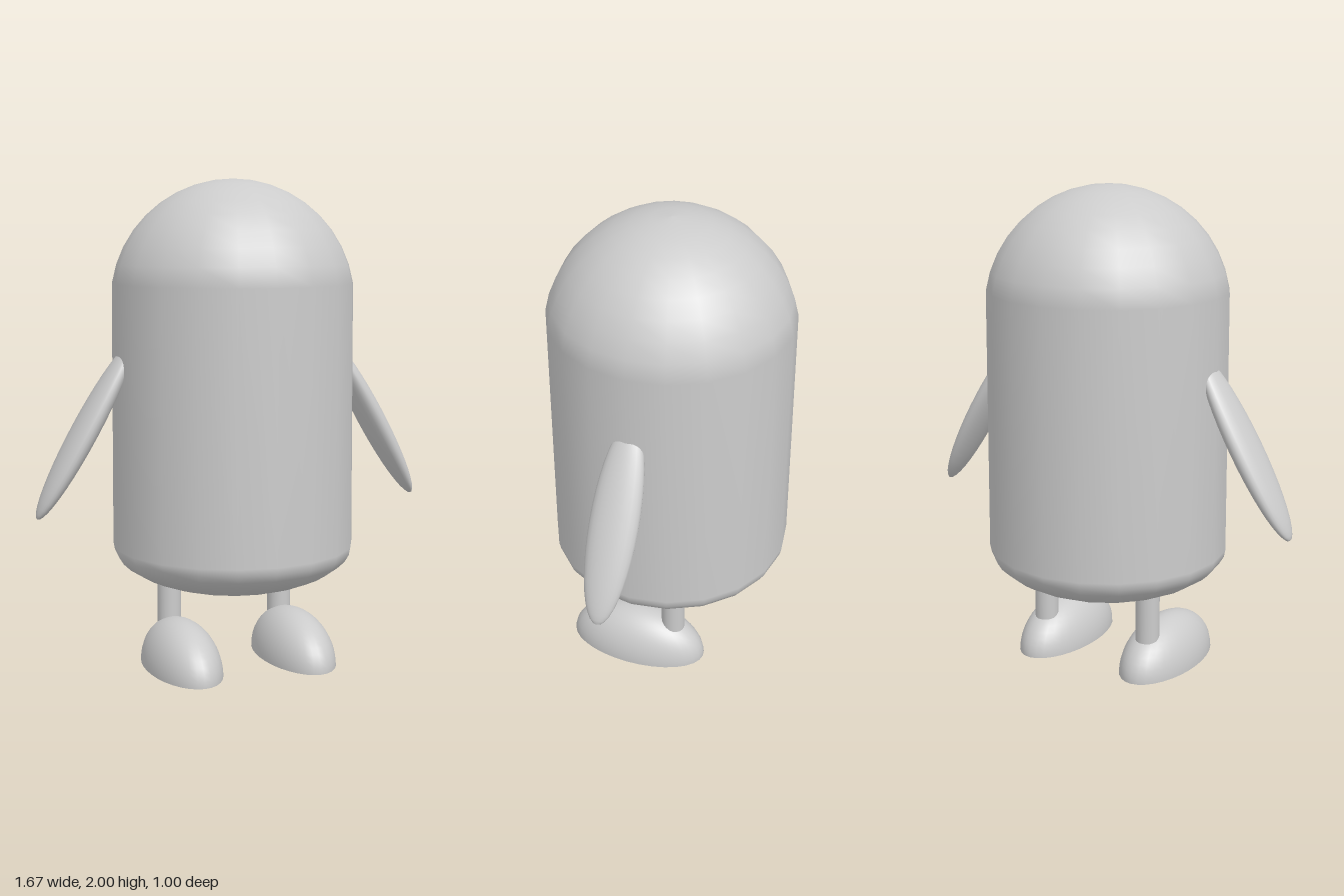
import * as THREE from 'three';

export function createModel() {
  const model = new THREE.Group();
  const grey = new THREE.MeshStandardMaterial({ color: 0xcccccc });

  const add = (parent, name, geometry, x = 0, y = 0, z = 0) => {
    const mesh = new THREE.Mesh(geometry, grey);
    mesh.name = name;
    mesh.position.set(x, y, z);
    parent.add(mesh);
    return mesh;
  };

  // Body: shallow rounded base, straight wall and domed head in one turned profile
  const profile = [];
  for (let i = 0; i <= 10; i++) {
    const a = (i / 10) * Math.PI / 2;
    profile.push(new THREE.Vector2(0.5 * Math.sin(a), 0.5 - 0.195 * Math.cos(a)));
  }
  for (let i = 1; i <= 10; i++) {
    const a = (i / 10) * Math.PI / 2;
    profile.push(new THREE.Vector2(i === 10 ? 0 : 0.5 * Math.cos(a), 1.5 + 0.5 * Math.sin(a)));
  }
  add(model, 'body', new THREE.LatheGeometry(profile, 20));

  for (const side of [1, -1]) {
    const label = side > 0 ? 'left' : 'right';

    // Arm: flat ellipsoid leaning outwards
    const armShape = new THREE.SphereGeometry(1, 24, 20).scale(0.05, 0.4, 0.1);
    add(model, label + 'Arm', armShape, side * 0.63, 1.0, 0).rotation.z = side * Math.PI / 6;

    // Leg: thin post from the body into the heel
    const legShape = new THREE.CylinderGeometry(0.05, 0.05, 0.3, 20);
    add(model, label + 'Leg', legShape, side * 0.25, 0.25, -0.1);

    // Foot: half ellipsoid with a flat sole
    const foot = new THREE.Group();
    foot.name = label + 'Foot';
    foot.position.set(side * 0.25, 0, 0.06);
    model.add(foot);
    const upper = new THREE.SphereGeometry(1, 32, 12, 0, Math.PI * 2, 0, Math.PI / 2);
    add(foot, label + 'FootUpper', upper.scale(0.15, 0.2, 0.3));
    const sole = new THREE.CircleGeometry(1, 32).rotateX(Math.PI / 2);
    add(foot, label + 'Sole', sole.scale(0.15, 1, 0.3));
  }

  return model;
}
